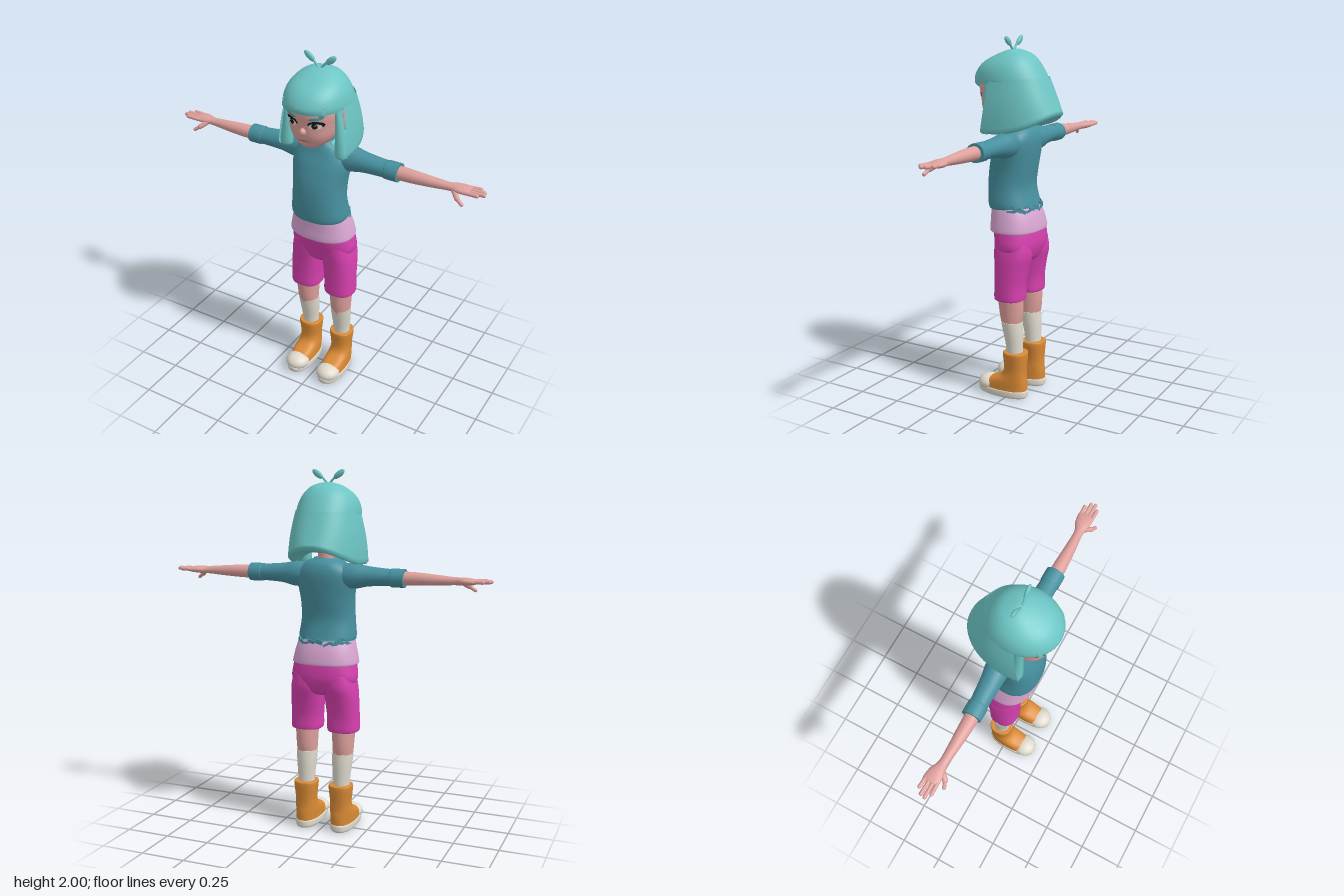
import * as THREE from 'three';

const mat = (name, color, side = THREE.FrontSide) => {
  const m = new THREE.MeshStandardMaterial({ color, side });
  m.name = name;
  return m;
};

// Smooth grid surface; f(u, v) gives a point, optionally closed around u
function grid(nu, nv, f, closed) {
  const pos = [], idx = [], w = closed ? nu : nu + 1;
  for (let i = 0; i <= nv; i++) for (let j = 0; j < w; j++) pos.push(...f(j / nu, i / nv));
  for (let i = 0; i < nv; i++) for (let j = 0; j < nu; j++) {
    const a = i * w + j, b = i * w + (j + 1) % w;
    idx.push(a, b, b + w, a, b + w, a + w);
  }
  const g = new THREE.BufferGeometry();
  g.setAttribute('position', new THREE.Float32BufferAttribute(pos, 3));
  g.setIndex(idx);
  g.computeVertexNormals();
  return g;
}

// Spline through cross-sections [y, centreX, centreZ, radiusX, radiusZ]
function sample(secs, t) {
  const f = t * (secs.length - 1), i = Math.min(Math.floor(f), secs.length - 2), k = f - i;
  const at = n => secs[Math.max(0, Math.min(secs.length - 1, n))];
  return secs[i].map((_, c) => {
    const p0 = at(i - 1)[c], p1 = at(i)[c], p2 = at(i + 1)[c], p3 = at(i + 2)[c];
    const m1 = (p2 - p0) / 2, m2 = (p3 - p1) / 2;
    return p1 + k * (m1 + k * (3 * (p2 - p1) - 2 * m1 - m2 + k * (2 * (p1 - p2) + m1 + m2)));
  });
}
const sPow = (v, n) => Math.sign(v) * Math.pow(Math.abs(v), 2 / n);

// Closed body through cross-sections, flat caps at both ends
function loft(secs, n = 2, nu = 32) {
  const nv = (secs.length - 1) * 4;
  const ring = (u, t) => {
    const [y, cx, cz, rx, rz] = sample(secs, t), a = u * Math.PI * 2;
    return [cx + rx * sPow(Math.sin(a), n), y, cz + rz * sPow(Math.cos(a), n)];
  };
  const mid = t => { const s = sample(secs, t); return [s[1], s[0], s[2]]; };
  return [
    grid(nu, nv, ring, true),
    grid(nu, 1, (u, v) => (v < 0.5 ? mid(0) : ring(u, 0)), true),
    grid(nu, 1, (u, v) => (v < 0.5 ? ring(u, 1) : mid(1)), true),
  ];
}
// Section from front z, back z and half-width
const fb = (y, zf, zb, rx, cx = 0) => [y, cx, (zf + zb) / 2, rx, (zf - zb) / 2];

function mirrored(geo) {
  const g = geo.clone().scale(-1, 1, 1), ix = g.index.array;
  for (let i = 0; i < ix.length; i += 3) [ix[i], ix[i + 1]] = [ix[i + 1], ix[i]];
  g.computeVertexNormals();
  return g;
}

function rod(a, b, r) {
  const A = new THREE.Vector3(...a), B = new THREE.Vector3(...b), d = B.clone().sub(A);
  const g = new THREE.CapsuleGeometry(r, d.length(), 5, 12);
  g.applyQuaternion(new THREE.Quaternion().setFromUnitVectors(new THREE.Vector3(0, 1, 0), d.normalize()));
  const m = A.add(B).multiplyScalar(0.5);
  return g.translate(m.x, m.y, m.z);
}
const ball = (x, y, z, rx, ry, rz, rot = 0) =>
  new THREE.SphereGeometry(1, 24, 16).scale(rx, ry, rz).rotateZ(rot).translate(x, y, z);

const HEAD = [fb(1.53, 0.15, 0.07, 0.022), fb(1.55, 0.178, 0.0, 0.066), fb(1.58, 0.19, -0.05, 0.102),
  fb(1.62, 0.202, -0.08, 0.126), fb(1.68, 0.205, -0.1, 0.14), fb(1.75, 0.212, -0.11, 0.147),
  fb(1.83, 0.18, -0.09, 0.125), fb(1.88, 0.1, -0.05, 0.07)];
const HN = 2.5;
function faceZ(x, y) {
  let lo = 0, hi = 1;
  for (let i = 0; i < 24; i++) { const m = (lo + hi) / 2; if (sample(HEAD, m)[0] < y) lo = m; else hi = m; }
  const [, , cz, rx, rz] = sample(HEAD, lo);
  return cz + rz * Math.pow(Math.max(0, 1 - Math.pow(Math.abs(x) / rx, HN)), 1 / HN);
}
// Thin oval laid on the face
function decal(cx, cy, w, h, rot, lift) {
  const g = new THREE.RingGeometry(0, 1, 28, 6).scale(w, h, 1).rotateZ(rot).translate(cx, cy, 0);
  const p = g.attributes.position;
  for (let i = 0; i < p.count; i++) p.setZ(i, faceZ(p.getX(i), p.getY(i)) + lift);
  g.computeVertexNormals();
  return g;
}

export function createModel() {
  const root = new THREE.Group();
  const skin = mat('skin', 0xdea09c), hair = mat('hair', 0x6cc5c4, THREE.DoubleSide);
  const teal = mat('shirt teal', 0x47909f), lilac = mat('lilac', 0xd8a6d2), pink = mat('shorts pink', 0xd640ae);
  const cream = mat('cream', 0xdfdacd), orange = mat('boot orange', 0xd98a35);
  const black = mat('lash black', 0x17191b), lip = mat('lip', 0xa8686a), brow = mat('brow teal', 0x4c9ca3);

  const add = (name, material, ...geos) => {
    const g = new THREE.Group();
    g.name = name;
    for (const geo of geos.flat()) {
      const m = new THREE.Mesh(geo, material);
      m.name = name;
      g.add(m);
    }
    root.add(g);
  };
  const pair = (name, material, ...geos) => {
    add('left ' + name, material, ...geos);
    add('right ' + name, material, ...geos.flat().map(mirrored));
  };

  // Head and face
  add('head', skin, loft(HEAD, HN, 48));
  add('neck', skin, loft([fb(1.45, 0.08, -0.05, 0.06), fb(1.52, 0.075, -0.04, 0.05), fb(1.6, 0.1, -0.04, 0.055)]));
  add('nose', skin, ball(0, 1.645, 0.205, 0.017, 0.02, 0.02));
  add('mouth', lip, decal(0, 1.59, 0.034, 0.004, 0, 0.003));
  pair('ear', skin, ball(0.158, 1.68, 0.05, 0.018, 0.055, 0.034, -0.15));
  pair('eyelash', black, decal(0.07, 1.694, 0.041, 0.021, 0.14, 0.002));
  pair('eye', cream, decal(0.068, 1.686, 0.033, 0.016, 0.1, 0.004));
  pair('iris', black, decal(0.066, 1.688, 0.015, 0.016, 0, 0.006));
  pair('eye glint', cream, decal(0.072, 1.694, 0.004, 0.004, 0, 0.008));
  pair('eyebrow', brow, decal(0.072, 1.728, 0.036, 0.008, 0.2, 0.004));

  // Hair: cap with fringe, flared back, side locks and top sprouts
  add('hair cap', hair, loft([fb(1.757, 0.245, -0.17, 0.172), fb(1.785, 0.25, -0.158, 0.171), fb(1.83, 0.228, -0.132, 0.16),
    fb(1.87, 0.187, -0.106, 0.137), fb(1.905, 0.12, -0.07, 0.1), fb(1.925, 0.07, -0.025, 0.06),
    fb(1.935, 0.03, 0.01, 0.012)], 2.1, 48));
  const wall = 0.72;
  add('hair back', hair, grid(48, 20, (u, v) => {
    const a = (280 - 200 * u) * Math.PI / 180, c = Math.max(0, -Math.cos(a));
    const hem = 1.5 + 0.1 * Math.pow(c, 1.8), k = Math.min(1, v / wall), q = Math.max(0, (v - wall) / (1 - wall));
    const s = 1 - 0.5 * q;
    const rx = (0.168 + 0.034 * k + 0.01 * Math.sin(Math.PI * k)) * s;
    const rz = (0.203 + 0.102 * k) * s;
    const y = 1.785 + (hem - 1.785) * k + q * (1.565 - hem) - 0.012 * Math.sin(Math.PI * Math.min(1, q * 3));
    return [rx * sPow(Math.sin(a), 2.3), y, 0.04 + 0.02 * k + rz * sPow(Math.cos(a), 2.3)];
  }));
  pair('hair side lock', hair, loft([[1.495, 0.165, 0.1, 0.03, 0.026], [1.515, 0.164, 0.1, 0.037, 0.031],
    [1.6, 0.158, 0.1, 0.028, 0.029], [1.7, 0.151, 0.1, 0.019, 0.026], [1.8, 0.138, 0.1, 0.015, 0.024]], 2, 20));
  pair('fringe tip', hair, loft([[1.738, 0.098, 0.187, 0.01, 0.008], [1.76, 0.1, 0.19, 0.026, 0.02],
    [1.8, 0.1, 0.18, 0.028, 0.02]], 2, 16));
  pair('hair sprout', hair, rod([0.004, 1.925, 0.035], [0.04, 1.965, 0.035], 0.006),
    ball(0.062, 1.977, 0.032, 0.037, 0.017, 0.011, 0.65));

  // Shirt with ragged back hem
  const shirt = loft([fb(1.08, 0.15, -0.108, 0.156), fb(1.11, 0.157, -0.098, 0.16), fb(1.2, 0.16, -0.08, 0.15),
    fb(1.3, 0.152, -0.092, 0.15), fb(1.4, 0.125, -0.104, 0.163), fb(1.46, 0.1, -0.105, 0.155),
    fb(1.505, 0.085, -0.09, 0.115), fb(1.53, 0.078, -0.06, 0.07)], 2.3, 48);
  for (const g of shirt) {
    const p = g.attributes.position;
    for (let i = 0; i < p.count; i++) {
      const x = p.getX(i), z = p.getZ(i);
      if (p.getY(i) < 1.085 && z < 0) p.setY(i, p.getY(i) + 0.012 + 0.012 * Math.sin(x * 95));
    }
    g.computeVertexNormals();
  }
  add('shirt', teal, shirt);
  const scraps = [];
  for (let i = 0; i < 11; i++) {
    const a = Math.PI * (0.62 + 0.076 * i), x = 0.158 * sPow(Math.sin(a), 2.3), z = 0.02 + 0.13 * sPow(Math.cos(a), 2.3);
    scraps.push(new THREE.BoxGeometry(0.045, 0.012 + 0.006 * (i % 3), 0.006)
      .rotateZ(0.5 * Math.sin(i * 2.4)).rotateY(a).translate(x, 1.078 + 0.008 * Math.sin(i * 1.7), z));
  }
  add('torn hem scraps', teal, scraps);
  add('collar', teal, new THREE.TorusGeometry(0.064, 0.012, 10, 32).rotateX(Math.PI / 2).translate(0, 1.523, 0.012));

  // Sleeves and arms, lofted upright and turned outward
  const arm = secs => loft(secs, 2, 24).map(g => g.rotateZ(-Math.PI / 2));
  pair('sleeve', teal, arm([[0.08, -1.44, -0.005, 0.065, 0.07], [0.17, -1.44, -0.01, 0.069, 0.066],
    [0.25, -1.441, -0.006, 0.054, 0.056], [0.37, -1.439, -0.002, 0.046, 0.049], [0.38, -1.438, -0.002, 0.05, 0.053],
    [0.45, -1.438, -0.002, 0.05, 0.053]]));
  pair('forearm', skin, arm([[0.43, -1.438, 0, 0.037, 0.038], [0.52, -1.438, 0, 0.035, 0.036],
    [0.63, -1.437, -0.002, 0.028, 0.029], [0.72, -1.437, -0.006, 0.021, 0.025], [0.77, -1.438, -0.012, 0.021, 0.04],
    [0.82, -1.438, -0.014, 0.016, 0.045], [0.835, -1.438, -0.014, 0.01, 0.042]]));
  pair('fingers', skin, [[-0.048, 0.875], [-0.024, 0.902], [0, 0.908], [0.022, 0.88]].map(([z, tip]) =>
    rod([0.8, 1.438, z * 0.9], [tip, 1.441, z], 0.0105)));
  pair('thumb', skin, rod([0.755, 1.43, 0.012], [0.785, 1.408, 0.04], 0.014), rod([0.785, 1.408, 0.04], [0.815, 1.387, 0.05], 0.01));

  // Undershirt and shorts
  add('undershirt', lilac, loft([fb(0.955, 0.128, -0.13, 0.178), fb(0.965, 0.138, -0.138, 0.186), fb(1.03, 0.137, -0.125, 0.172),
    fb(1.09, 0.138, -0.1, 0.155), fb(1.13, 0.13, -0.075, 0.14)], 2.3, 48));
  add('shorts hips', pink, loft([fb(0.785, 0.06, -0.09, 0.07), fb(0.81, 0.078, -0.112, 0.15), fb(0.87, 0.095, -0.132, 0.186),
    fb(0.93, 0.11, -0.132, 0.182), fb(0.98, 0.115, -0.125, 0.172)], 2.4, 48));
  pair('shorts leg', pink, loft([fb(0.575, 0.068, -0.082, 0.08, 0.108), fb(0.585, 0.077, -0.09, 0.089, 0.108),
    fb(0.66, 0.076, -0.09, 0.089, 0.107), fb(0.76, 0.079, -0.108, 0.092, 0.101), fb(0.83, 0.086, -0.124, 0.092, 0.095),
    fb(0.9, 0.09, -0.12, 0.082, 0.09)], 2.4));

  // Legs, socks and boots
  pair('knee', skin, loft([fb(0.43, 0.042, -0.072, 0.056, 0.108), fb(0.5, 0.055, -0.082, 0.06, 0.109), fb(0.62, 0.068, -0.082, 0.067, 0.11)]));
  pair('sock', cream, loft([fb(0.22, 0.01, -0.08, 0.046, 0.106), fb(0.3, 0.016, -0.08, 0.049, 0.106),
    fb(0.38, 0.032, -0.08, 0.056, 0.107), fb(0.445, 0.045, -0.076, 0.06, 0.108)]));
  pair('boot', orange, loft([fb(0.03, 0.18, -0.106, 0.065, 0.105), fb(0.065, 0.17, -0.106, 0.065, 0.105),
    fb(0.095, 0.12, -0.104, 0.064, 0.105), fb(0.125, 0.05, -0.1, 0.06, 0.105), fb(0.17, 0.026, -0.1, 0.058, 0.105),
    fb(0.255, 0.031, -0.106, 0.067, 0.105), fb(0.268, 0.026, -0.1, 0.061, 0.105)], 2.4));
  pair('boot toe cap', cream, ball(0.105, 0.055, 0.128, 0.069, 0.046, 0.068));
  pair('boot sole', cream, loft([fb(0.0, 0.175, -0.104, 0.06, 0.105), fb(0.01, 0.192, -0.11, 0.068, 0.105),
    fb(0.036, 0.195, -0.11, 0.069, 0.105), fb(0.042, 0.188, -0.106, 0.066, 0.105)], 2.4));
  return root;
}
